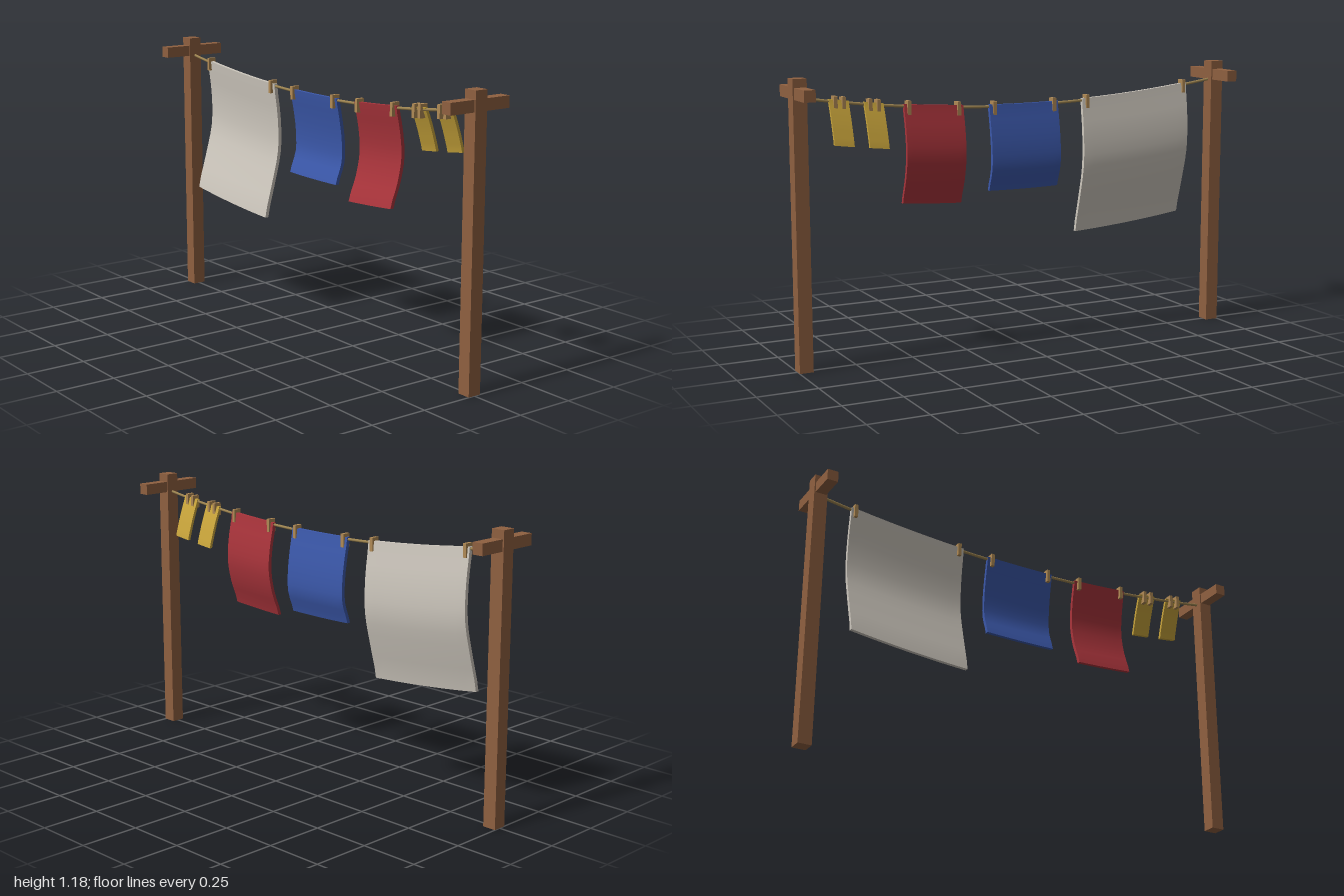
import * as THREE from 'three';

const material = (name, color) => {
  const m = new THREE.MeshStandardMaterial({ color });
  m.name = name;
  return m;
};

// Height of the sagging line at x
const lineY = (x) => 1.025 + 0.076 * (x / 0.97) ** 2;

export function createModel() {
  const model = new THREE.Group();
  const wood = material('post wood', 0x8f6040);
  const ropeTan = material('rope tan', 0x9c8350);
  const pegTan = material('peg tan', 0xb08a55);
  const linen = material('linen', 0xcdc7bd);
  const blue = material('blue cloth', 0x3b58aa);
  const red = material('red cloth', 0xa9343b);
  const yellow = material('yellow cloth', 0xc8a43b);

  const add = (name, geometry, mat, x = 0, y = 0, z = 0) => {
    const mesh = new THREE.Mesh(geometry, mat);
    mesh.name = name;
    mesh.position.set(x, y, z);
    model.add(mesh);
    return mesh;
  };

  // Posts with crossbars
  for (const side of [-1, 1]) {
    const label = side > 0 ? 'left' : 'right';
    add(label + 'Post', new THREE.BoxGeometry(0.058, 1.178, 0.058), wood, side * 0.971, 0.589);
    add(label + 'Crossbar', new THREE.BoxGeometry(0.047, 0.047, 0.291), wood, side * 0.971, 1.12);
  }

  // Sagging line
  const points = [];
  for (let i = 0; i <= 16; i++) {
    const x = -0.97 + (1.94 * i) / 16;
    points.push(new THREE.Vector3(x, lineY(x), 0));
  }
  add('line', new THREE.TubeGeometry(new THREE.CatmullRomCurve3(points), 32, 0.006, 8), ropeTan);

  // Cloth: a thin slab that follows the line along its top and billows down its drop.
  // sway lists z at equal steps from top to hem; twist varies the hem from end to end.
  const addCloth = (name, mat, x0, x1, drop, thick, sway, twist = 0) => {
    const geo = new THREE.BoxGeometry(x1 - x0, 1, thick, 10, 12, 1);
    const curve = new THREE.SplineCurve(sway.map((z, i) => new THREE.Vector2(i / (sway.length - 1), z)));
    const p = geo.attributes.position;
    for (let i = 0; i < p.count; i++) {
      const t = 0.5 - p.getY(i);
      const x = p.getX(i) + (x0 + x1) / 2;
      const u = p.getX(i) / (x1 - x0);
      const z = curve.getPoint(t).y - twist * u * t * t;
      p.setXYZ(i, x, lineY(x) + 0.009 - t * drop, p.getZ(i) + z);
    }
    geo.computeVertexNormals();
    add(name, geo, mat);
  };
  addCloth('sheet', linen, -0.822, -0.297, 0.586, 0.016, [0, -0.017, -0.017, 0.018, 0.056], 0.008);
  addCloth('blueTowel', blue, -0.178, 0.144, 0.362, 0.016, [0, -0.016, -0.028, -0.027, 0.003]);
  addCloth('redTowel', red, 0.263, 0.526, 0.41, 0.016, [0, -0.02, -0.029, -0.01, 0.026], 0.004);
  addCloth('firstSock', yellow, 0.614, 0.697, 0.178, 0.013, [0, -0.016, -0.032, -0.046, -0.058]);
  addCloth('secondSock', yellow, 0.762, 0.845, 0.178, 0.013, [0, -0.016, -0.032, -0.046, -0.058]);

  // Pegs
  for (const x of [-0.805, -0.32, -0.158, 0.122, 0.285, 0.506, 0.638, 0.673, 0.785, 0.82]) {
    add('peg', new THREE.BoxGeometry(0.015, 0.056, 0.036), pegTan, x, lineY(x) - 0.005, 0);
  }
  return model;
}
